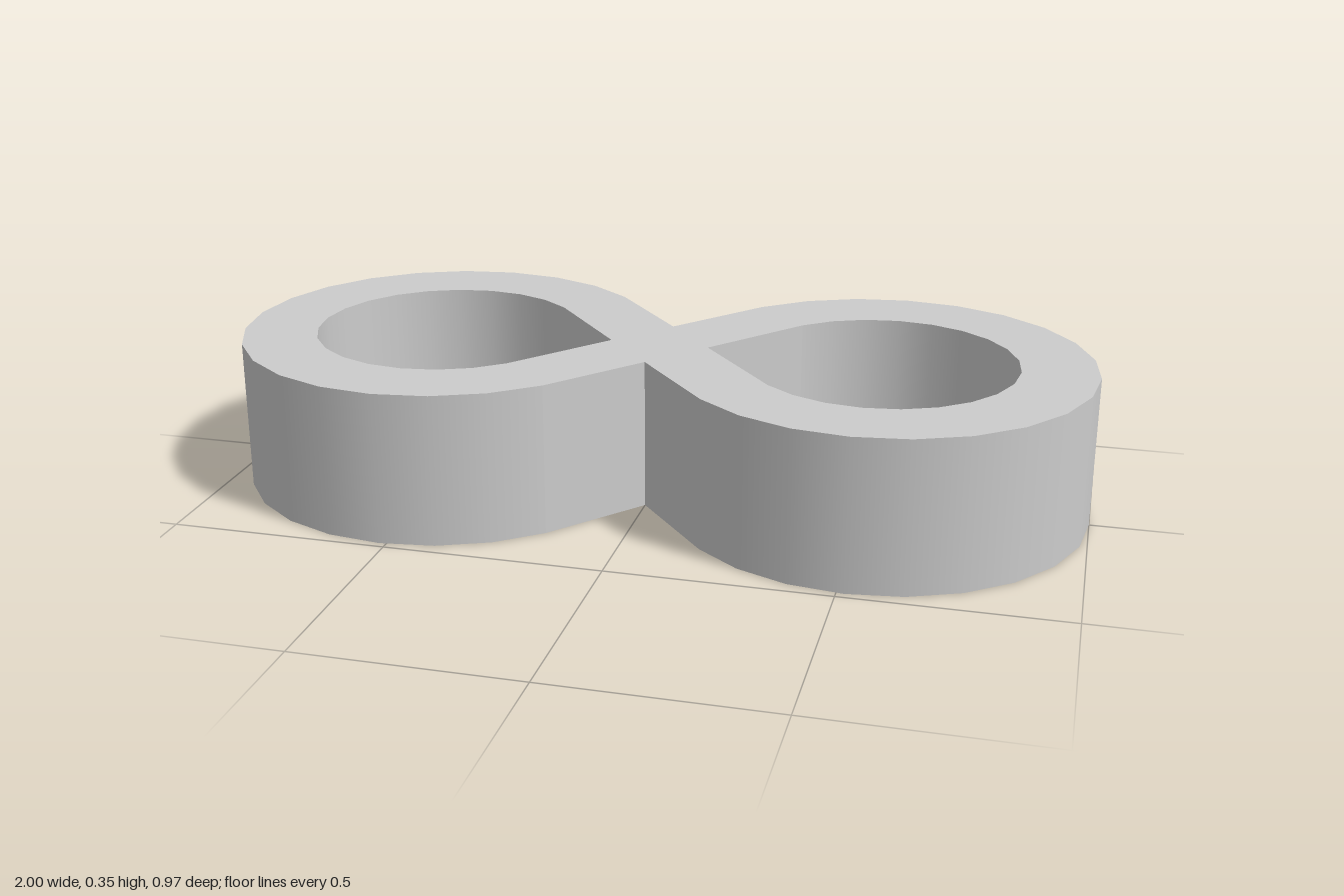
import * as THREE from 'three';

const CENTER = 0.517, OUTER = 0.483, INNER = 0.31, HEIGHT = 0.35;
const WAIST = 0.135, TIP = 0.115, STEPS = 18;

// 270 degree arc of one ring, open towards the crossing; side is +1 or -1
function ringArc(side, radius) {
  return Array.from({ length: STEPS + 1 }, (_, i) => {
    const a = THREE.MathUtils.degToRad(-135 + (270 * i) / STEPS);
    return new THREE.Vector2(side * (CENTER + radius * Math.cos(a)), side * radius * Math.sin(a));
  });
}

// Smooth the round walls, keep the straight walls and rims flat
function smoothArcs(geometry) {
  const p = geometry.attributes.position, n = geometry.attributes.normal;
  for (let t = 0; t < p.count; t += 3) {
    if (Math.abs(n.getY(t)) > 0.5) continue;
    for (const [radius, sign] of [[OUTER, 1], [INNER, -1]]) {
      const rays = [0, 1, 2].map((k) => {
        const x = p.getX(t + k);
        return new THREE.Vector3(x - Math.sign(x) * CENTER, 0, p.getZ(t + k));
      });
      if (!rays.every((r) => Math.abs(r.length() - radius) < 0.002)) continue;
      rays.forEach((r, k) => {
        r.normalize().multiplyScalar(sign);
        n.setXYZ(t + k, r.x, 0, r.z);
      });
    }
  }
}

export function createModel() {
  const group = new THREE.Group();
  const grey = new THREE.MeshStandardMaterial({ color: 0xcccccc });
  grey.name = 'light grey';

  // Figure-eight outline with two teardrop holes
  const outline = new THREE.Shape([
    ...ringArc(1, OUTER), new THREE.Vector2(0, WAIST),
    ...ringArc(-1, OUTER), new THREE.Vector2(0, -WAIST),
  ]);
  for (const side of [1, -1]) {
    outline.holes.push(new THREE.Path([...ringArc(side, INNER), new THREE.Vector2(side * TIP, 0)]));
  }

  // Upright extrusion standing on the ground
  const geometry = new THREE.ExtrudeGeometry(outline, { depth: HEIGHT, bevelEnabled: false });
  geometry.rotateX(-Math.PI / 2);
  smoothArcs(geometry);

  const loop = new THREE.Mesh(geometry, grey);
  loop.name = 'figureEightLoop';
  group.add(loop);
  return group;
}
